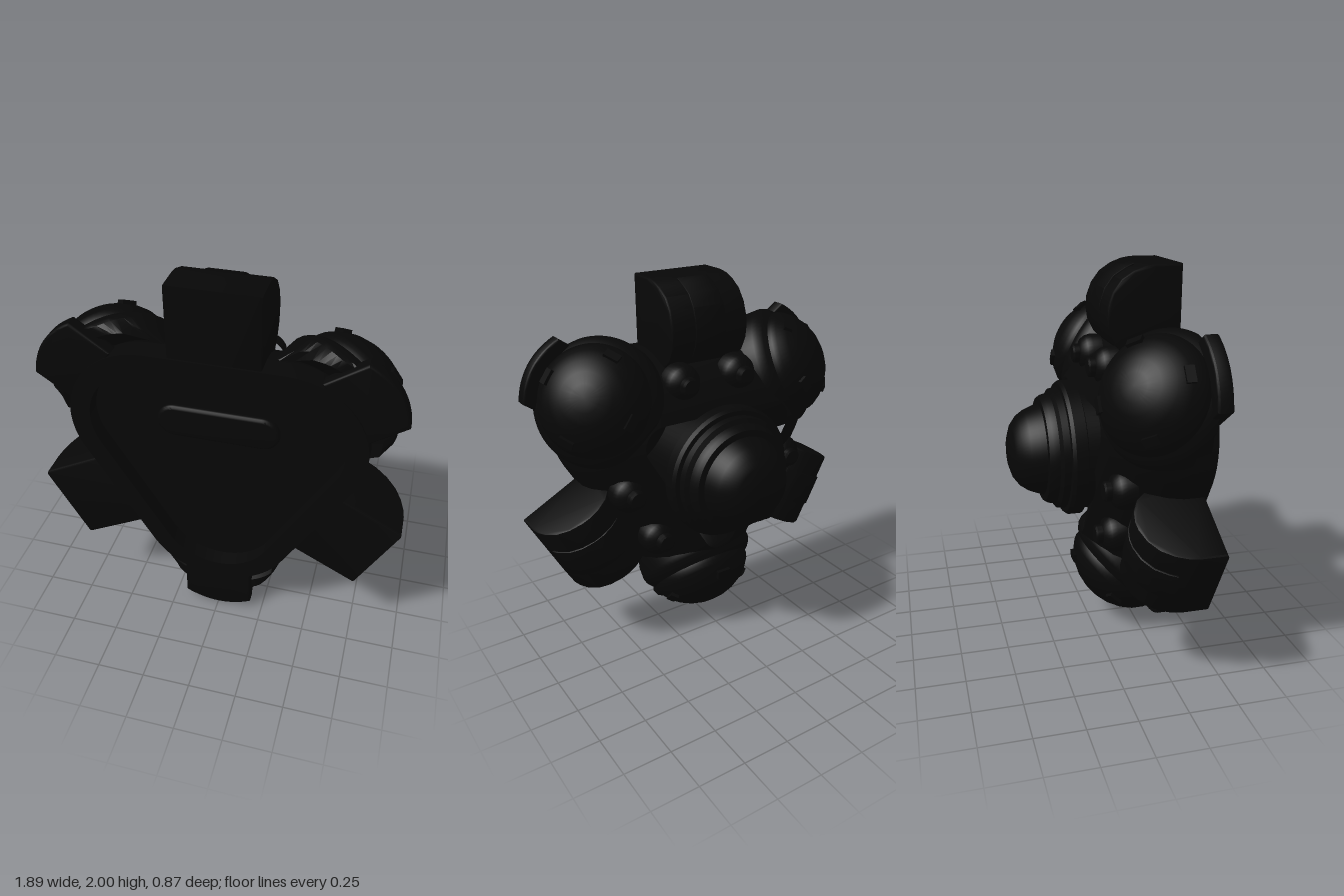
import * as THREE from 'three';
import { toCreasedNormals } from 'three/addons/utils/BufferGeometryUtils.js';

const black = new THREE.MeshStandardMaterial({ color: 0x070707 });
black.name = 'black';
const rad = THREE.MathUtils.degToRad;

function add(parent, geometry, name) {
  const mesh = new THREE.Mesh(geometry, black);
  mesh.name = name;
  parent.add(mesh);
  return mesh;
}

const points = (list) => list.map(([x, y]) => new THREE.Vector2(x, y));

// Lathe from a profile listed bottom to top
function turned(profile, segments = 48) {
  return toCreasedNormals(new THREE.LatheGeometry(points(profile), segments), 0.6);
}

// Rounded triangle, corner down, side at distance d from the centre
function triangle(d) {
  const out = [];
  for (let k = 0; k < 3; k++) {
    const a = -90 + 120 * k;
    for (let i = 0; i <= 16; i++) {
      const t = rad(a - 60 + (120 * i) / 16);
      out.push(new THREE.Vector2(
        0.39 * Math.cos(rad(a)) + (d - 0.195) * Math.cos(t),
        0.39 * Math.sin(rad(a)) + (d - 0.195) * Math.sin(t)));
    }
  }
  return out;
}

// Flat slab lying in the ground plane of the body, from height h upward
function slab(shape, h, depth, bevel = 0) {
  const g = new THREE.ExtrudeGeometry(shape, {
    depth: depth - 2 * bevel, bevelEnabled: bevel > 0, bevelSize: bevel,
    bevelThickness: bevel, bevelOffset: -bevel, bevelSegments: 3, curveSegments: 16,
  });
  g.rotateX(Math.PI / 2).translate(0, h + depth - bevel, 0);
  return toCreasedNormals(g, 0.6);
}

// Hull walls joining triangular sections [side distance, height]
function hull(sections) {
  const pos = [], idx = [];
  let n = 0;
  for (const [d, h] of sections) {
    const ring = triangle(d);
    n = ring.length;
    ring.forEach((p) => pos.push(p.x, h, p.y));
  }
  for (let s = 0; s < sections.length - 1; s++) {
    for (let i = 0; i < n; i++) {
      const j = (i + 1) % n, a = s * n + i, b = s * n + j;
      idx.push(a, a + n, b, b, a + n, b + n);
    }
  }
  const g = new THREE.BufferGeometry();
  g.setAttribute('position', new THREE.Float32BufferAttribute(pos, 3));
  g.setIndex(idx);
  return toCreasedNormals(g, 0.6);
}

// Side profile swept across the width of an arm
function across(profile, width, bevel) {
  const g = new THREE.ExtrudeGeometry(new THREE.Shape(points(profile)), {
    depth: width - 2 * bevel, bevelSize: bevel, bevelThickness: bevel,
    bevelOffset: -bevel, bevelSegments: 2,
  });
  g.translate(0, 0, -width / 2 + bevel);
  return toCreasedNormals(g, 0.5);
}

// Group whose +x points outward at the given angle
function spoke(parent, degrees, name) {
  const g = new THREE.Group();
  g.name = name;
  g.rotation.y = -rad(degrees);
  parent.add(g);
  return g;
}

function buildArm(parent, reach) {
  const r = reach;
  add(parent, across([
    [0.52, 0.01], [r, 0.01], [r, 0.15], [r - 0.008, 0.2], [r - 0.03, 0.26], [r - 0.07, 0.32],
    [r - 0.13, 0.365], [r - 0.2, 0.39], [0.71, 0.394], [0.65, 0.385], [0.58, 0.35], [0.52, 0.28],
  ], 0.45, 0.012), 'armBlock');
  // Raised strap over the rounded top
  add(parent, across([
    [0.6, 0.3], [r - 0.05, 0.22], [r - 0.005, 0.22], [r - 0.024, 0.265], [r - 0.064, 0.327],
    [r - 0.126, 0.373], [r - 0.198, 0.396], [0.71, 0.4], [0.65, 0.391], [0.59, 0.36],
  ], 0.18, 0.003), 'armStrap');
  // Bolts either side of the inner end
  for (const s of [-1, 1]) {
    const bolt = add(parent, turned([
      [0.1, 0], [0.1, 0.05], [0.092, 0.08], [0.075, 0.102], [0.05, 0.115],
      [0.05, 0.142], [0.04, 0.15], [0, 0.152],
    ], 32), 'bolt');
    bolt.position.set(0.47, 0.33, 0.17 * s);
  }
}

function buildPod(parent) {
  // Tilted collar and domed cap, cut flat behind the front rim
  const g = new THREE.LatheGeometry(points([
    [0.335, -0.25], [0.335, -0.1], [0.335, 0.05], [0.335, 0.135], [0.327, 0.16], [0.308, 0.185],
    [0.285, 0.205], [0.285, 0.225], [0.275, 0.25], [0.24, 0.298], [0.19, 0.34], [0.13, 0.372],
    [0.07, 0.39], [0, 0.398],
  ]), 64);
  g.rotateZ(rad(-45)).translate(0.6, 0.13, 0);
  const p = g.attributes.position;
  for (let i = 0; i < p.count; i++) {
    const floor = p.getX(i) < 0.74 ? 0.12 : 0.05;
    p.setY(i, Math.max(floor, p.getY(i)));
  }
  add(parent, toCreasedNormals(g, 0.5), 'podDome');

  // Small lugs around the cap
  const lugs = new THREE.Group();
  lugs.name = 'podLugs';
  lugs.position.set(0.6, 0.13, 0);
  lugs.rotation.z = rad(-45);
  for (let k = 0; k < 4; k++) {
    const lug = new THREE.BoxGeometry(0.045, 0.04, 0.08);
    lug.rotateZ(-0.7).translate(0.23, 0.3, 0).rotateY((k * Math.PI) / 2);
    add(lugs, lug, 'lug');
  }
  parent.add(lugs);

  // Foot tab with a bowed outer edge
  const foot = new THREE.Shape();
  foot.moveTo(0.74, -0.185);
  foot.lineTo(0.975, -0.185);
  foot.quadraticCurveTo(1.075, 0, 0.975, 0.185);
  foot.lineTo(0.74, 0.185);
  add(parent, slab(foot, 0.008, 0.077, 0.012), 'footTab');
}

export function createModel() {
  const model = new THREE.Group();
  model.name = 'device';

  // Body frame: local y is height above the front face, pointing to the back
  const body = new THREE.Group();
  body.name = 'body';
  body.rotation.x = -Math.PI / 2;
  body.position.set(0, 1.03, 0.4365);
  model.add(body);

  add(body, hull([
    [0.6, 0], [0.6, 0.12], [0.583, 0.2], [0.545, 0.29], [0.495, 0.36], [0.43, 0.415],
    [0.37, 0.45], [0.3, 0.48],
  ]), 'hull');

  // Front rim around a sunken panel with a bar
  const rim = new THREE.Shape(triangle(0.6));
  rim.holes.push(new THREE.Path(triangle(0.497).reverse()));
  add(body, slab(rim, 0, 0.085), 'frontRim');
  add(body, slab(new THREE.Shape(triangle(0.51)), 0.085, 0.015), 'frontPanel');
  const bar = new THREE.Shape();
  bar.absarc(0.22, 0.2, 0.09, -Math.PI / 2, Math.PI / 2);
  bar.absarc(-0.22, 0.2, 0.09, Math.PI / 2, Math.PI * 1.5);
  add(body, slab(bar, 0.055, 0.042, 0.018), 'frontBar');

  // Stepped central dome
  add(body, turned([
    [0.33, 0.25], [0.33, 0.505], [0.358, 0.515], [0.358, 0.575], [0.345, 0.592], [0.322, 0.595],
    [0.318, 0.63], [0.295, 0.645], [0.288, 0.675], [0.275, 0.695], [0.242, 0.698], [0.232, 0.73],
    [0.213, 0.775], [0.185, 0.815], [0.14, 0.848], [0.08, 0.867], [0, 0.873],
  ], 64), 'centralDome');

  for (const [angle, reach] of [[90, 0.97], [-28, 0.957], [208, 0.957]]) {
    buildArm(spoke(body, angle, 'arm'), reach);
  }
  for (const angle of [35, 145, 270]) buildPod(spoke(body, angle, 'pod'));
  return model;
}
